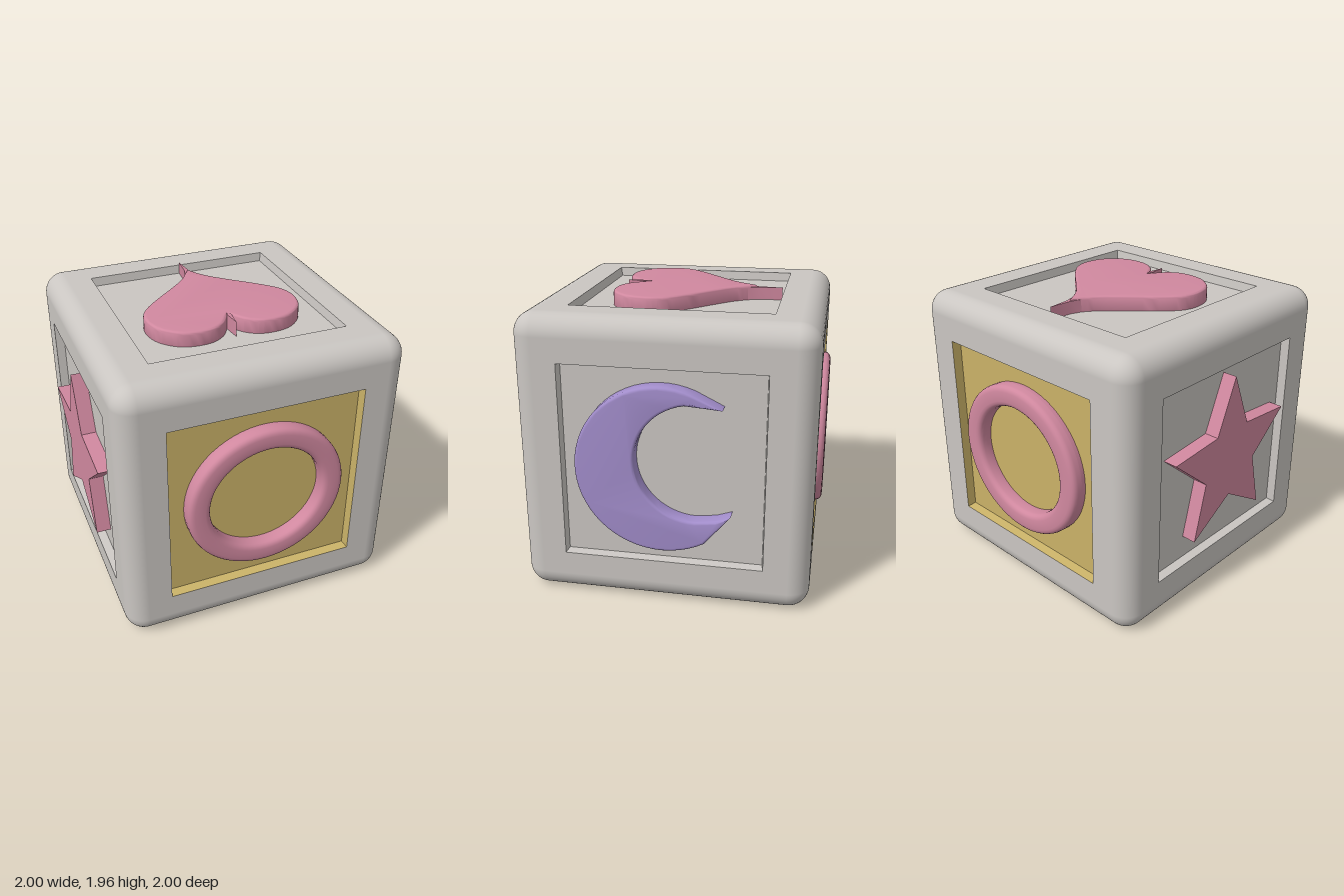
import * as THREE from 'three';
import { mergeGeometries, toCreasedNormals } from 'three/addons/utils/BufferGeometryUtils.js';
import { RoundedBoxGeometry } from 'three/addons/geometries/RoundedBoxGeometry.js';

const HALF = 0.96, RADIUS = 0.14, OPENING = 0.66, FLOOR = 0.65, DEPTH = 0.06;

function material(name, color) {
  const m = new THREE.MeshStandardMaterial({ color });
  m.name = name;
  return m;
}

// Rounded cube shell with the flat middle of each side left out
function shellGeometry() {
  const box = new RoundedBoxGeometry(HALF * 2, HALF * 2, HALF * 2, 6, RADIUS);
  const src = box.index ? box.toNonIndexed() : box;
  const p = src.attributes.position, n = src.attributes.normal;
  const pos = [], nor = [];
  for (let i = 0; i < p.count; i += 3) {
    const flat = [0, 1, 2].some(axis => [0, 1, 2].every(k =>
      Math.abs(p.getComponent(i + k, axis)) > HALF - 1e-4 &&
      p.getComponent(i + k, axis) * p.getComponent(i, axis) > 0));
    if (flat) continue;
    for (let k = i; k < i + 3; k++) {
      pos.push(p.getX(k), p.getY(k), p.getZ(k));
      nor.push(n.getX(k), n.getY(k), n.getZ(k));
    }
  }
  const g = new THREE.BufferGeometry();
  g.setAttribute('position', new THREE.Float32BufferAttribute(pos, 3));
  g.setAttribute('normal', new THREE.Float32BufferAttribute(nor, 3));
  return g;
}

function square(Type, h) {
  const s = new Type();
  s.moveTo(-h, -h).lineTo(h, -h).lineTo(h, h).lineTo(-h, h).closePath();
  return s;
}

// Flat border around a recess
function borderGeometry() {
  const s = square(THREE.Shape, HALF - RADIUS);
  s.holes.push(square(THREE.Path, OPENING));
  return new THREE.ShapeGeometry(s).translate(0, 0, HALF);
}

// Recess: four slightly sloping inward-facing walls and a floor
function recessGeometry() {
  const walls = new THREE.CylinderGeometry(OPENING * Math.SQRT2, FLOOR * Math.SQRT2, DEPTH, 4, 1, true)
    .rotateY(Math.PI / 4).rotateX(Math.PI / 2).toNonIndexed();
  const p = walls.attributes.position;
  for (let i = 0; i < p.count; i++) p.setX(i, -p.getX(i));
  walls.computeVertexNormals();
  walls.translate(0, 0, HALF - DEPTH / 2);
  const floor = new THREE.PlaneGeometry(FLOOR * 2, FLOOR * 2).toNonIndexed().translate(0, 0, HALF - DEPTH);
  return mergeGeometries([walls, floor]);
}

// Raised slab of a given outline, with its top at z = top
function slab(points, bevel, top = 1) {
  const bottom = 0.87;
  const g = new THREE.ExtrudeGeometry(new THREE.Shape(points), {
    depth: top - bottom - 2 * bevel,
    bevelEnabled: bevel > 0,
    bevelSize: bevel, bevelThickness: bevel, bevelOffset: -bevel, bevelSegments: 4,
  });
  g.translate(0, 0, bottom + bevel);
  return toCreasedNormals(g, 0.6);
}

const vec = list => list.map(([x, y]) => new THREE.Vector2(x, y));

function arc(cx, cy, r, from, to, steps) {
  return Array.from({ length: steps + 1 }, (_, i) => {
    const a = THREE.MathUtils.degToRad(from + (to - from) * i / steps);
    return [cx + r * Math.cos(a), cy + r * Math.sin(a)];
  });
}

// Slightly oval ring with a soft rectangular section
function ringGeometry() {
  const soft = v => Math.sign(v) * Math.pow(Math.abs(v), 0.6);
  const profile = [];
  for (let i = 0; i <= 24; i++) {
    const a = i / 24 * Math.PI * 2;
    profile.push(new THREE.Vector2(0.469 + 0.078 * soft(Math.cos(a)), 0.07 * soft(Math.sin(a))));
  }
  return new THREE.LatheGeometry(profile, 64).rotateX(Math.PI / 2).scale(1, 0.965, 1).translate(0, 0, 0.93);
}

function moonGeometry() {
  return slab(vec([
    [0.39, 0.43],
    ...arc(0, 0, 0.56, 68, 300, 40),
    [0.45, -0.28], [0.35, -0.315],
    ...arc(0.22, 0.06, 0.392, 270, 100, 28),
  ]), 0.02);
}

function starGeometry() {
  const points = [];
  for (let i = 0; i < 10; i++) {
    const r = i % 2 ? 0.27 : 0.6, a = Math.PI / 2 + i * Math.PI / 5;
    points.push([r * Math.cos(a), r * Math.sin(a)]);
  }
  return slab(vec(points), 0);
}

function heartGeometry() {
  const half = new THREE.SplineCurve(vec([
    [0.015, -0.31], [0.07, -0.39], [0.15, -0.445], [0.25, -0.46], [0.36, -0.44], [0.45, -0.375],
    [0.505, -0.29], [0.525, -0.18], [0.505, -0.08], [0.45, 0], [0.36, 0.09], [0.22, 0.215],
    [0.11, 0.32], [0.05, 0.4],
  ])).getPoints(39).map(v => [v.x, v.y]);
  const mirrored = half.map(([x, y]) => [-x, y]).reverse();
  return slab(vec([[0, -0.28], ...half, [0, 0.48], ...mirrored]), 0.02);
}

export function createModel() {
  const group = new THREE.Group();
  group.name = 'toyBlock';
  const grey = material('warmGrey', 0xcac6c2);
  const gold = material('gold', 0xcab268);
  const pink = material('pink', 0xd0889f);
  const purple = material('purple', 0xa28dcb);

  const add = (parent, name, geometry, mat) => {
    const mesh = new THREE.Mesh(geometry, mat);
    mesh.name = name;
    parent.add(mesh);
  };

  const block = new THREE.Group();
  block.name = 'block';
  block.position.y = HALF;
  group.add(block);
  add(block, 'roundedEdges', shellGeometry(), grey);

  // Each side is built facing +z, then turned into place
  const border = borderGeometry(), recess = recessGeometry(), ring = ringGeometry();
  const q = Math.PI / 2;
  const sides = [
    ['front', 0, 0, gold, [['ring', ring, pink]]],
    ['back', 0, 2 * q, gold, [['ring', ring, pink]]],
    ['right', 0, q, grey, [['moon', moonGeometry(), purple]]],
    ['left', 0, -q, grey, [['star', starGeometry(), pink]]],
    ['top', -q, 0, grey, [
      ['heart', heartGeometry(), pink],
      ['heartTip', slab(vec([[-0.04, 0.415], [0.04, 0.415], [0.015, 0.49], [0, 0.65], [-0.015, 0.49]]), 0, 0.985), pink],
      ['heartNotch', slab(vec([[0, -0.43], [0.014, -0.31], [0, -0.25], [-0.014, -0.31]]), 0, 1.001), pink],
    ]],
    ['bottom', q, 0, grey, []],
  ];
  for (const [name, rx, ry, panel, reliefs] of sides) {
    const side = new THREE.Group();
    side.name = name + 'Side';
    side.rotation.set(rx, ry, 0);
    block.add(side);
    add(side, 'border', border, grey);
    add(side, 'recess', recess, panel);
    for (const [part, geometry, mat] of reliefs) add(side, part, geometry, mat);
  }
  return group;
}
